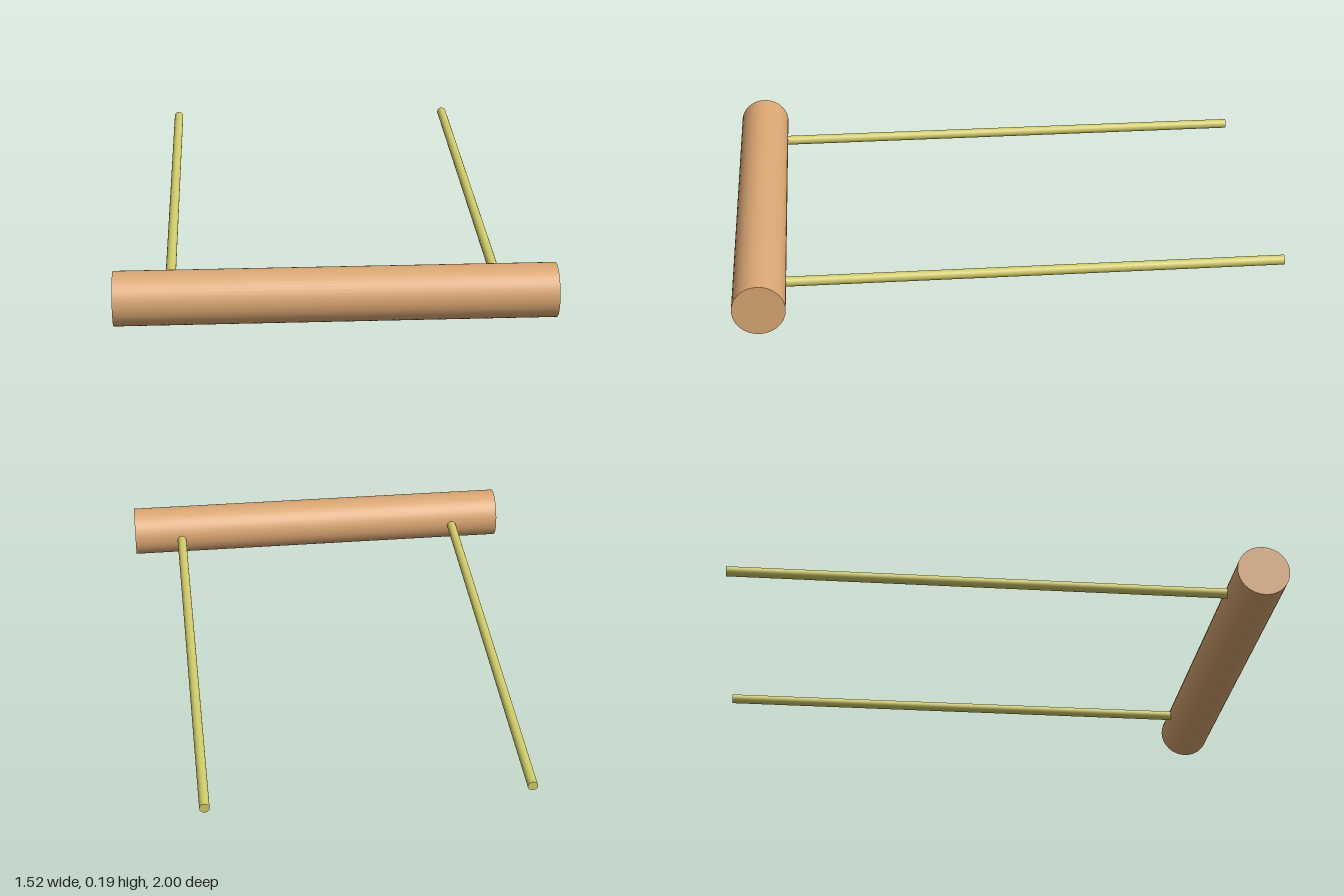
import * as THREE from 'three';

const BAR_RADIUS = 0.095, BAR_LENGTH = 1.525, BAR_Z = 1 - BAR_RADIUS;
const ROPE_RADIUS = 0.018, ROPE_X = 0.57, ROPE_END_Z = -1;

export function createModel() {
  const group = new THREE.Group();
  const wood = new THREE.MeshStandardMaterial({ color: 0xdca874 });
  const fibre = new THREE.MeshStandardMaterial({ color: 0xd2cc68 });

  // Thick round crossbar lying along x
  const barGeometry = new THREE.CylinderGeometry(BAR_RADIUS, BAR_RADIUS, BAR_LENGTH, 48);
  barGeometry.rotateZ(Math.PI / 2);
  const bar = new THREE.Mesh(barGeometry, wood);
  bar.name = 'crossbar';
  bar.position.set(0, BAR_RADIUS, BAR_Z);
  group.add(bar);

  // Two thin ropes running back from the middle of the bar
  const ropeLength = BAR_Z - ROPE_END_Z;
  const ropeGeometry = new THREE.CylinderGeometry(ROPE_RADIUS, ROPE_RADIUS, ropeLength, 24);
  ropeGeometry.rotateX(Math.PI / 2);
  for (const side of [1, -1]) {
    const rope = new THREE.Mesh(ropeGeometry, fibre);
    rope.name = side > 0 ? 'leftRope' : 'rightRope';
    rope.position.set(side * ROPE_X, BAR_RADIUS, (BAR_Z + ROPE_END_Z) / 2);
    group.add(rope);
  }
  return group;
}
